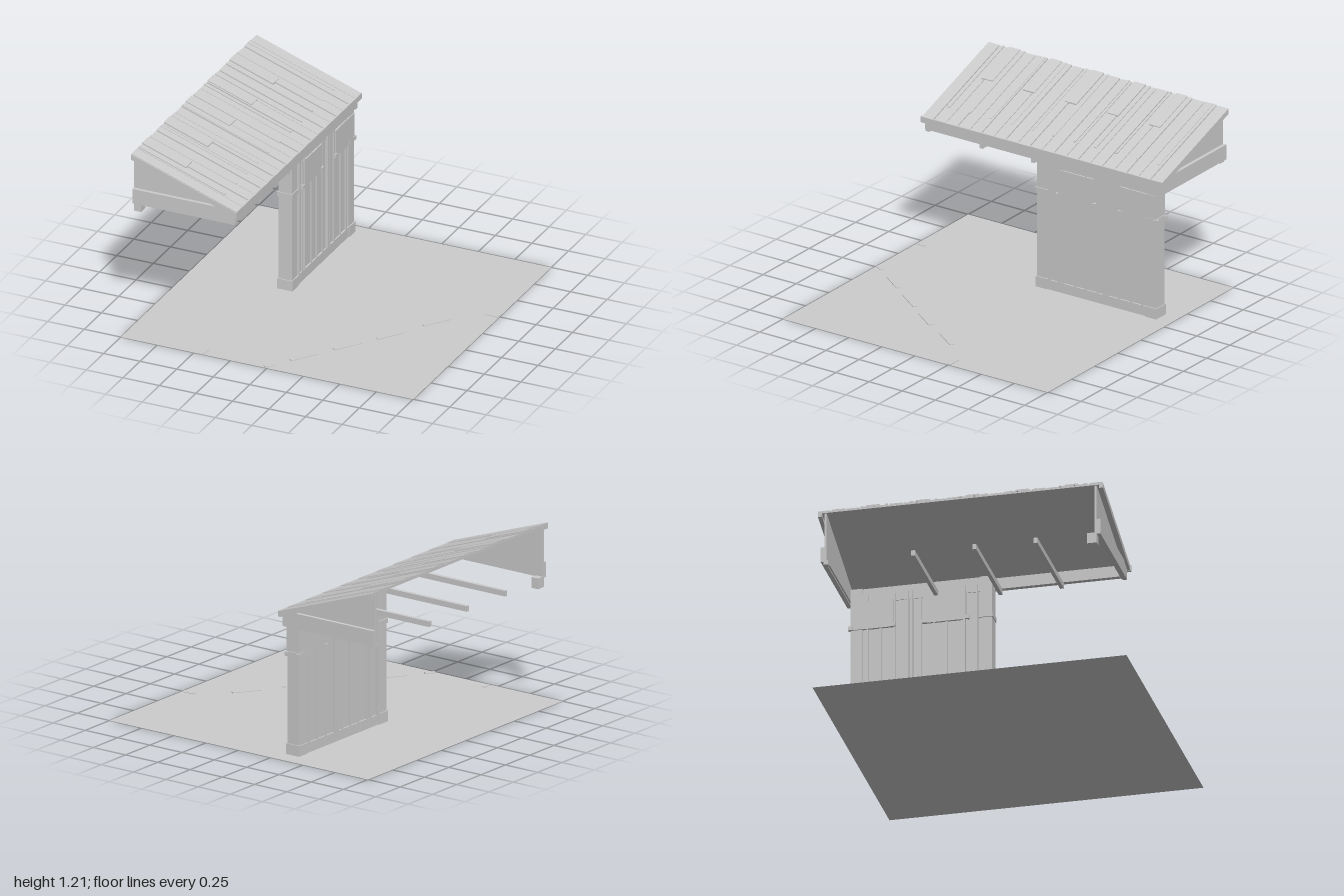
import * as THREE from 'three';

export function createModel() {
  const model = new THREE.Group();
  const grey = new THREE.MeshStandardMaterial({ color: 0xcccccc });
  grey.name = 'plain grey';
  const sheet = new THREE.MeshStandardMaterial({ color: 0xcccccc, side: THREE.DoubleSide });
  sheet.name = 'ground grey';

  const add = (name, geometry, material = grey) => {
    const mesh = new THREE.Mesh(geometry, material);
    mesh.name = name;
    model.add(mesh);
    return mesh;
  };
  // Box given by its lower and upper limits on each axis
  const box = (name, x0, x1, y0, y1, z0, z1) => {
    const g = new THREE.BoxGeometry(x1 - x0, y1 - y0, z1 - z0);
    g.translate((x0 + x1) / 2, (y0 + y1) / 2, (z0 + z1) / 2);
    return add(name, g);
  };
  // Outline in x and y, extruded from z0 to z1
  const slab = (name, points, z0, z1) => {
    const shape = new THREE.Shape(points.map(p => new THREE.Vector2(...p)));
    const g = new THREE.ExtrudeGeometry(shape, { depth: z1 - z0, bevelEnabled: false });
    g.translate(0, 0, z0);
    return add(name, g);
  };
  // Top line of the sloping roof, and a strip lying along it
  const roofY = x => 0.95 - (x + 0.28) * (0.25 / 0.72);
  const roofStrip = (name, x0, x1, low, high, z0, z1) => slab(name, [
    [x0, roofY(x0) + low], [x1, roofY(x1) + low], [x1, roofY(x1) + high], [x0, roofY(x0) + high],
  ], z0, z1);

  // Ground and painted markings
  const ground = new THREE.PlaneGeometry(2, 2);
  ground.rotateX(-Math.PI / 2);
  add('ground', ground, sheet);
  const mark = (x, z, length, width, angle) => {
    const g = new THREE.BoxGeometry(length, 0.004, width);
    g.rotateY(angle);
    g.translate(x, 0.003, z);
    add('groundMark', g);
  };
  [[0.14, 0.765], [0.32, 0.515], [0.5, 0.27], [0.68, -0.015]].forEach(([x, z]) => mark(x, z, 0.19, 0.03, 0.95));
  mark(0, 0.965, 0.065, 0.03, 0.95);
  mark(-0.44, 0.96, 0.02, 0.06, 0);
  mark(0.95, -0.25, 0.09, 0.03, 0);

  // Wall core, plinth and top rail
  box('wallCore', -0.385, -0.315, 0.01, 0.93, -0.9, -0.02);
  box('wallPlinth', -0.395, -0.305, 0.01, 0.075, -0.905, -0.01);
  box('wallTopRail', -0.39, -0.31, 0.83, 0.9, -0.9, -0.02);

  // End posts with foot and head blocks
  for (const [z0, z1] of [[-0.08, -0.005], [-0.905, -0.83]]) {
    box('post', -0.395, -0.305, 0.01, 0.93, z0, z1);
    box('postFoot', -0.402, -0.298, 0.01, 0.08, z0 - 0.006, z1 + 0.006);
    box('postHead', -0.402, -0.298, 0.65, 0.68, z0 - 0.006, z1 + 0.006);
  }

  // Battens on both faces, the heavier ones standing further out
  const battens = [[-0.165], [-0.2], [-0.295], [-0.375], [-0.46], [-0.515, 1], [-0.54, 1],
    [-0.625], [-0.715], [-0.8], [-0.1, 1], [-0.18, 1]];
  for (const side of [-1, 1]) {
    const plate = (name, out, y0, y1, z0, z1) => {
      const a = -0.35 + side * 0.03, b = -0.35 + side * out;
      box(name, Math.min(a, b), Math.max(a, b), y0, y1, z0, z1);
    };
    for (const [z, heavy] of battens) plate('wallBatten', heavy ? 0.055 : 0.045, 0.075, 0.88, z - 0.006, z + 0.006);
    // Raised boards near the head of the wall
    for (const z of [-0.3, -0.77]) {
      plate('wallBoard', 0.05, 0.65, 0.835, z - 0.135, z + 0.135);
      plate('boardEnd', 0.056, 0.65, 0.675, z + 0.12, z + 0.15);
      plate('boardEnd', 0.056, 0.65, 0.675, z - 0.15, z - 0.12);
    }
  }

  // Eave beam, fascia and cross joists
  box('eaveBeam', -0.325, -0.293, 0.865, 0.94, -0.93, 0.83);
  box('eaveFascia', -0.298, -0.278, 0.912, 0.95, -0.965, 0.855);
  for (const z of [-0.36, 0.03, 0.42]) box('joist', -1, -0.31, 0.83, 0.866, z - 0.012, z + 0.012);

  // Gable ends with tie beam, rake board and hanging block
  for (const [z, out] of [[0.805, 1], [-0.92, -1]]) {
    const span = (a, b) => [Math.min(z + out * a, z + out * b), Math.max(z + out * a, z + out * b)];
    slab('gablePanel', [[-1, 0.86], [-0.3, 0.86], [-0.3, 0.94], [-1, 1.18]], ...span(-0.01, 0.005));
    slab('gableTieBeam', [[-1, 0.85], [-0.3, 0.85], [-0.3, 0.93], [-0.36, 0.95], [-1, 0.95]], ...span(0, 0.028));
    roofStrip('rakeBoard', -1, -0.28, -0.04, -0.005, ...span(0.02, 0.045));
  }
  box('hangingBlock', -1, -0.95, 0.79, 0.86, 0.75, 0.81);
  box('hangingBlock', -1, -0.96, 0.83, 0.86, -0.93, -0.9);

  // Roof deck of twenty planks, laid alternately high and low
  const pitch = 1.82 / 20;
  roofStrip('roofDeck', -1, -0.28, -0.018, -0.009, -0.965, 0.85);
  for (let i = 0; i < 20; i++) {
    const z = -0.97 + i * pitch, lift = i % 2 ? 0 : -0.003;
    roofStrip('roofPlank', -1, -0.278, -0.01, lift, z + 0.004, z + pitch - 0.004);
  }
  // Thin strips and short patches on the roof
  for (let i = 0; i < 11; i++) {
    const z = -0.845 + i * 0.158;
    roofStrip('roofStrip', -1, -0.41, -0.004, 0.003, z - 0.008, z + 0.008);
  }
  for (let i = 0; i < 5; i++) {
    const z = -0.615 + i * 0.316;
    roofStrip('roofPatch', -1, -0.7, -0.004, 0.006, z - 0.042, z + 0.042);
  }
  return model;
}
